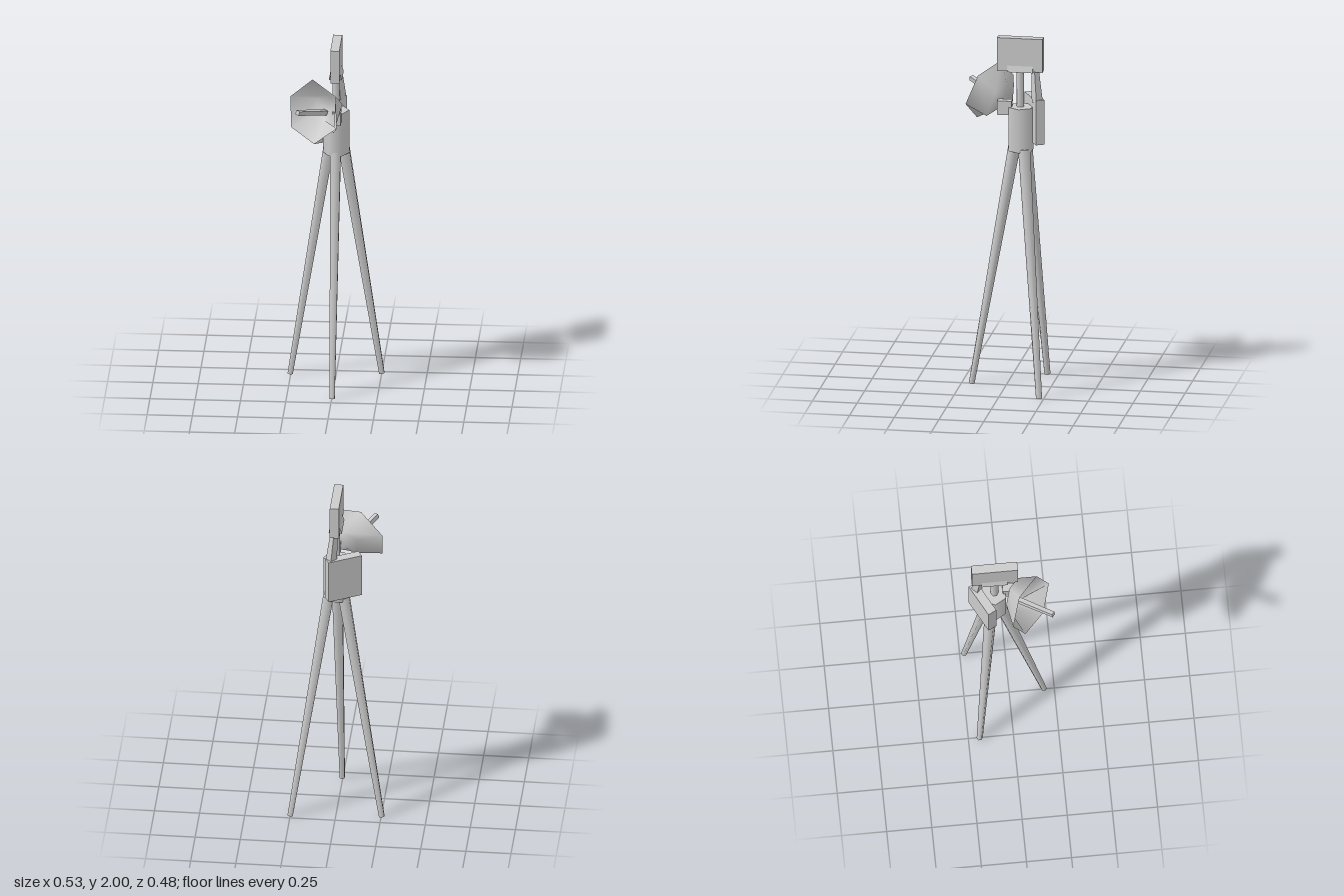
import * as THREE from 'three';

const grey = new THREE.MeshStandardMaterial({ color: 0xcccccc });
const flat = new THREE.MeshStandardMaterial({ color: 0xcccccc, flatShading: true });
const thin = new THREE.MeshStandardMaterial({ color: 0xcccccc, side: THREE.DoubleSide });

export function createModel() {
  const model = new THREE.Group();

  function add(name, geometry, material = grey, position = [0, 0, 0]) {
    const mesh = new THREE.Mesh(geometry, material);
    mesh.name = name;
    mesh.position.set(...position);
    model.add(mesh);
    return mesh;
  }

  // Tapered bar running from a to b
  function bar(name, a, b, ra, rb, sides, material = grey) {
    const start = new THREE.Vector3(...a), end = new THREE.Vector3(...b);
    const dir = end.clone().sub(start);
    const geometry = new THREE.CylinderGeometry(rb, ra, dir.length(), sides);
    const mesh = add(name, geometry, material);
    mesh.position.copy(start).add(end).multiplyScalar(0.5);
    mesh.quaternion.setFromUnitVectors(new THREE.Vector3(0, 1, 0), dir.normalize());
    return mesh;
  }

  // Tripod
  bar('frontLeg', [0.003, 0.005, 0.193], [0.006, 1.37, -0.045], 0.016, 0.034, 6);
  bar('leftLeg', [0.25, 0.005, -0.225], [0.05, 1.37, -0.108], 0.017, 0.034, 6);
  bar('rightLeg', [-0.253, 0.005, -0.187], [-0.036, 1.37, -0.106], 0.017, 0.034, 6);

  // Hexagonal housing, its points on the x axis
  const housing = add('housing', new THREE.CylinderGeometry(0.073, 0.073, 0.25, 6), grey, [0.007, 1.48, -0.083]);
  housing.rotation.y = Math.PI / 6;

  // Upper post, tapered bracket and panel
  bar('post', [0.007, 1.6, -0.08], [0.007, 1.84, -0.08], 0.021, 0.021, 6);
  const bracket = new THREE.BoxGeometry(0.073, 0.06, 0.144);
  const p = bracket.attributes.position;
  for (let i = 0; i < p.count; i++) if (p.getY(i) > 0) p.setX(i, p.getX(i) * 0.45);
  bracket.computeVertexNormals();
  add('panelBracket', bracket, grey, [0.008, 1.838, -0.082]);
  add('panel', new THREE.BoxGeometry(0.05, 0.19, 0.255), grey, [0.008, 1.905, -0.08]);

  // Angled rear box and the strut above it
  const rearBox = add('rearBox', new THREE.BoxGeometry(0.198, 0.255, 0.051), grey, [-0.038, 1.528, -0.151]);
  rearBox.rotation.y = 0.49;
  bar('rearStrut', [0.028, 1.64, -0.178], [0.012, 1.82, -0.163], 0.031, 0.021, 4, flat);

  // Dish: six-sided rim joined to a smaller ring and a closed back
  const rim = [
    [-0.24, 1.71, 0], [-0.232, 1.555, 0.068], [-0.098, 1.5, 0.18],
    [0.03, 1.61, 0.223], [0.02, 1.773, 0.155], [-0.115, 1.83, 0.047],
  ];
  const back = [
    [-0.1, 1.69, -0.025], [-0.095, 1.605, -0.02], [-0.05, 1.585, 0.03],
    [0.005, 1.54, 0.11], [0.05, 1.69, 0.05], [-0.02, 1.72, 0],
  ];
  const index = [];
  for (let i = 0; i < 6; i++) {
    const j = (i + 1) % 6;
    index.push(i, i + 6, j, j, i + 6, j + 6, i + 6, 12, j + 6);
  }
  const dish = new THREE.BufferGeometry();
  const points = [...rim, ...back, [-0.034, 1.635, 0.012]].flat();
  dish.setAttribute('position', new THREE.Float32BufferAttribute(points, 3));
  dish.setIndex(index);
  dish.computeVertexNormals();
  // Normals point out of the back of the dish
  if (dish.attributes.normal.getZ(12) > 0) {
    dish.setIndex(index.reverse());
    dish.computeVertexNormals();
  }
  add('dish', dish, thin);

  // Feed rod along the dish axis, and the mount behind it
  bar('feedRod', [-0.045, 1.63, 0.025], [-0.186, 1.7, 0.228], 0.019, 0.017, 4, flat);
  add('dishMount', new THREE.BoxGeometry(0.045, 0.08, 0.08), grey, [0.018, 1.6, 0.005]);

  return model;
}
